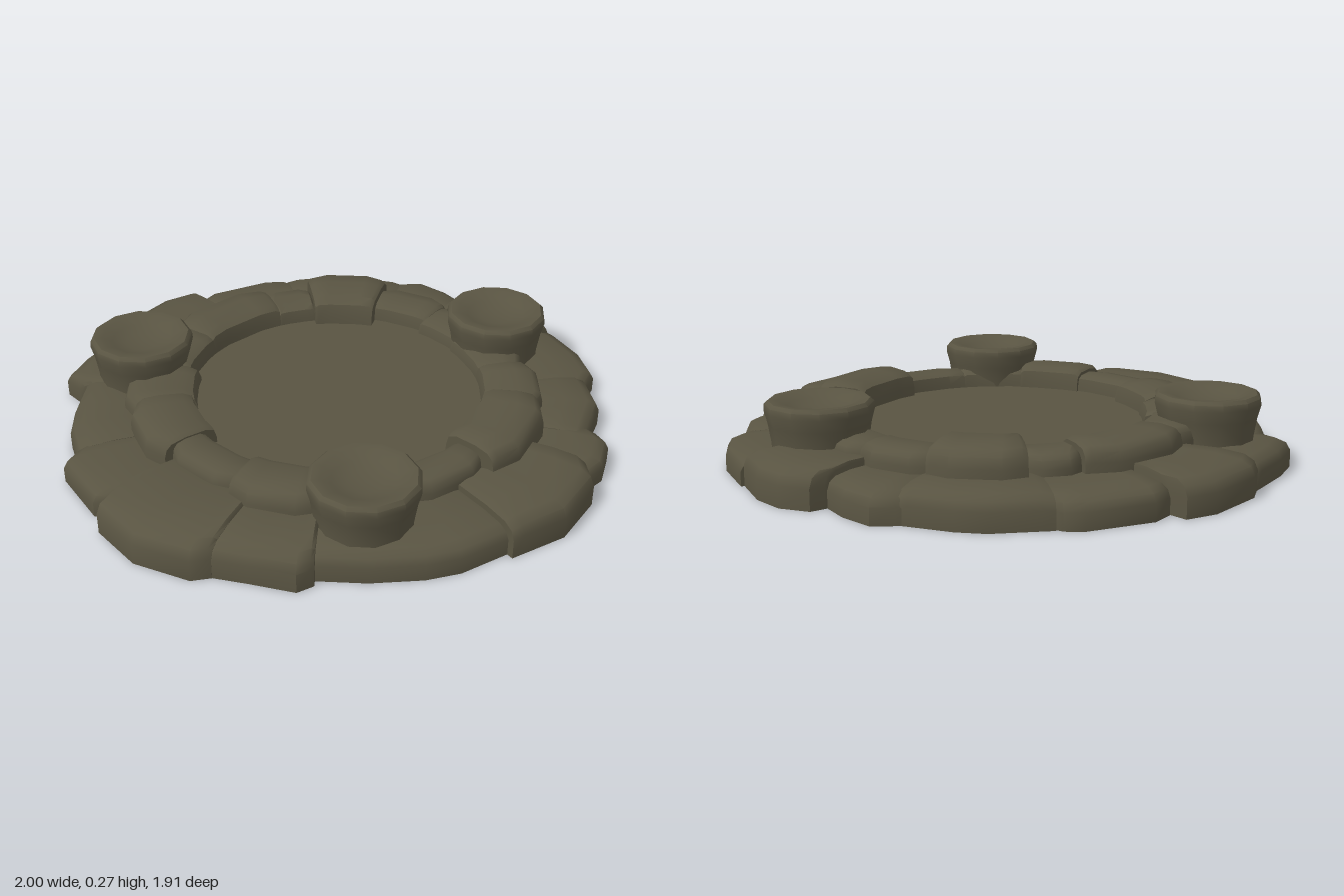
import * as THREE from 'three';
import { toCreasedNormals } from 'three/addons/utils/BufferGeometryUtils.js';

const stone = new THREE.MeshStandardMaterial({ color: 0x595442, side: THREE.DoubleSide });
stone.name = 'mossy stone';

// Outer ring stones: [height, outline x, z, x, z, ...] running from the back round by the left side
const OUTER = [
  [0.11, -0.41, -0.84, -0.35, -0.9, -0.12, -0.96, -0.05, -0.95, -0.02, -0.92],
  [0.12, -0.03, -0.94, 0.18, -0.94, 0.28, -0.91, 0.45, -0.82],
  [0.11, 0.43, -0.83, 0.53, -0.82, 0.61, -0.72, 0.66, -0.61],
  [0.135, 0.65, -0.62, 0.71, -0.65, 0.81, -0.6, 0.88, -0.5, 0.93, -0.33],
  [0.1, 0.94, -0.34, 1, -0.14, 1, 0, 0.94, 0.07],
  [0.11, 0.95, 0.04, 0.94, 0.22, 0.9, 0.28, 0.82, 0.41],
  [0.1, 0.87, 0.38, 0.89, 0.45, 0.83, 0.56, 0.75, 0.61],
  [0.14, 0.76, 0.58, 0.75, 0.68, 0.6, 0.83, 0.4, 0.9],
  [0.11, 0.41, 0.87, 0.22, 0.94, 0.1, 0.95, -0.08, 0.93, -0.27, 0.88],
  [0.13, -0.25, 0.91, -0.31, 0.93, -0.45, 0.86, -0.58, 0.8],
  [0.14, -0.56, 0.81, -0.63, 0.81, -0.8, 0.69, -0.9, 0.51, -0.83, 0.43],
  [0.1, -0.84, 0.44, -0.91, 0.42, -1, 0.2, -0.95, 0.13],
  [0.11, -0.95, 0.15, -0.97, 0, -0.95, -0.13, -0.9, -0.3],
  [0.11, -0.92, -0.28, -0.97, -0.36, -0.9, -0.47, -0.76, -0.63],
  [0.13, -0.77, -0.61, -0.73, -0.7, -0.56, -0.85, -0.45, -0.89, -0.4, -0.82],
];

// Inner ring stones: [start angle, end angle, inner radius, outer radius, height]
const INNER = [
  [-138, -103, 0.54, 0.76, 0.2], [-103, -88, 0.54, 0.73, 0.18], [-88, -63, 0.51, 0.79, 0.215],
  [-64, -41, 0.56, 0.75, 0.18], [-42, -22, 0.54, 0.74, 0.17], [-23, 1, 0.53, 0.73, 0.17],
  [0, 23, 0.53, 0.75, 0.18], [22, 56, 0.53, 0.77, 0.215], [54, 82, 0.56, 0.71, 0.18],
  [81, 106, 0.56, 0.72, 0.18], [105, 130, 0.55, 0.76, 0.2], [129, 156, 0.56, 0.72, 0.18],
  [154, 180, 0.52, 0.76, 0.195], [179, 201, 0.51, 0.77, 0.18], [200, 223, 0.54, 0.74, 0.19],
];

// Open-bottomed rounded block swept along an outline, with closed ends
function stoneGeometry(outline, innerRadius, base, height) {
  const n = outline.length;
  const stations = outline.map((p) => ({ p, k: 1 }));
  stations[0].k = stations[n - 1].k = 0.8;
  stations.splice(n - 1, 0, { p: outline[n - 1].clone().lerp(outline[n - 2], 0.2), k: 1 });
  stations.splice(1, 0, { p: outline[0].clone().lerp(outline[1], 0.2), k: 1 });

  // Cross-section from the outer foot, over the top, to the inner foot
  const rows = stations.map(({ p, k }) => {
    const R = p.length();
    const w = R - innerRadius;
    const h = (height - base) * (0.6 + 0.4 * k);
    const section = [[0, 0], [0, 0.55], [0.04, 0.8], [0.14, 0.94], [0.4, 1], [0.8, 0.97], [0.95, 0.85], [1, 0.55], [1, 0]];
    return section.map(([u, v]) => {
      const r = (R - w * u) / R;
      return new THREE.Vector3(p.x * r, base + h * v, p.y * r);
    });
  });

  const pos = [];
  const tri = (...vs) => vs.forEach((v) => pos.push(v.x, v.y, v.z));
  for (let i = 0; i < rows.length - 1; i++) {
    for (let j = 0; j < rows[i].length - 1; j++) {
      const [a, b, c, d] = [rows[i][j], rows[i][j + 1], rows[i + 1][j], rows[i + 1][j + 1]];
      tri(a, b, c);
      tri(b, d, c);
    }
  }
  const first = rows[0], last = rows[rows.length - 1];
  for (let j = 1; j < first.length - 1; j++) {
    tri(first[0], first[j + 1], first[j]);
    tri(last[0], last[j], last[j + 1]);
  }
  const geometry = new THREE.BufferGeometry();
  geometry.setAttribute('position', new THREE.Float32BufferAttribute(pos, 3));
  return toCreasedNormals(geometry, 0.75);
}

function addMesh(parent, name, geometry) {
  const mesh = new THREE.Mesh(geometry, stone);
  mesh.name = name;
  parent.add(mesh);
  return mesh;
}

function addGroup(parent, name) {
  const group = new THREE.Group();
  group.name = name;
  parent.add(group);
  return group;
}

export function createModel() {
  const model = new THREE.Group();
  model.name = 'stonePlatform';

  // Flat round floor
  const floor = addMesh(model, 'floor', new THREE.CircleGeometry(0.6, 32));
  floor.rotation.x = -Math.PI / 2;
  floor.position.y = 0.115;

  // Low outer ring
  const outerRing = addGroup(model, 'outerRing');
  OUTER.forEach(([height, ...c]) => {
    const outline = [];
    for (let i = 0; i < c.length; i += 2) outline.push(new THREE.Vector2(c[i], c[i + 1]));
    addMesh(outerRing, 'outerStone', stoneGeometry(outline, 0.64, 0, height));
  });

  // Raised inner ring
  const innerRing = addGroup(model, 'innerRing');
  INNER.forEach(([a0, a1, inner, outer, height]) => {
    const outline = [0, 0.25, 0.75, 1].map((t) => {
      const a = THREE.MathUtils.degToRad(a0 + (a1 - a0) * t);
      const r = t === 0 || t === 1 ? outer * 0.96 : outer;
      return new THREE.Vector2(Math.cos(a) * r, Math.sin(a) * r);
    });
    addMesh(innerRing, 'innerStone', stoneGeometry(outline, inner, 0.07, height));
  });

  // Three dished pedestals, open underneath
  const profile = [
    [0.165, 0.06], [0.167, 0.12], [0.178, 0.19], [0.19, 0.235], [0.188, 0.258],
    [0.175, 0.27], [0.145, 0.268], [0.11, 0.25], [0.06, 0.238], [0, 0.235],
  ].map(([r, y]) => new THREE.Vector2(r, y));
  const bowl = toCreasedNormals(new THREE.LatheGeometry(profile, 12), 0.75);
  const bowls = addGroup(model, 'pedestals');
  [[-0.68, -0.3], [0.67, -0.23], [-0.05, 0.72]].forEach(([x, z]) => {
    addMesh(bowls, 'pedestal', bowl).position.set(x, 0, z);
  });

  return model;
}
